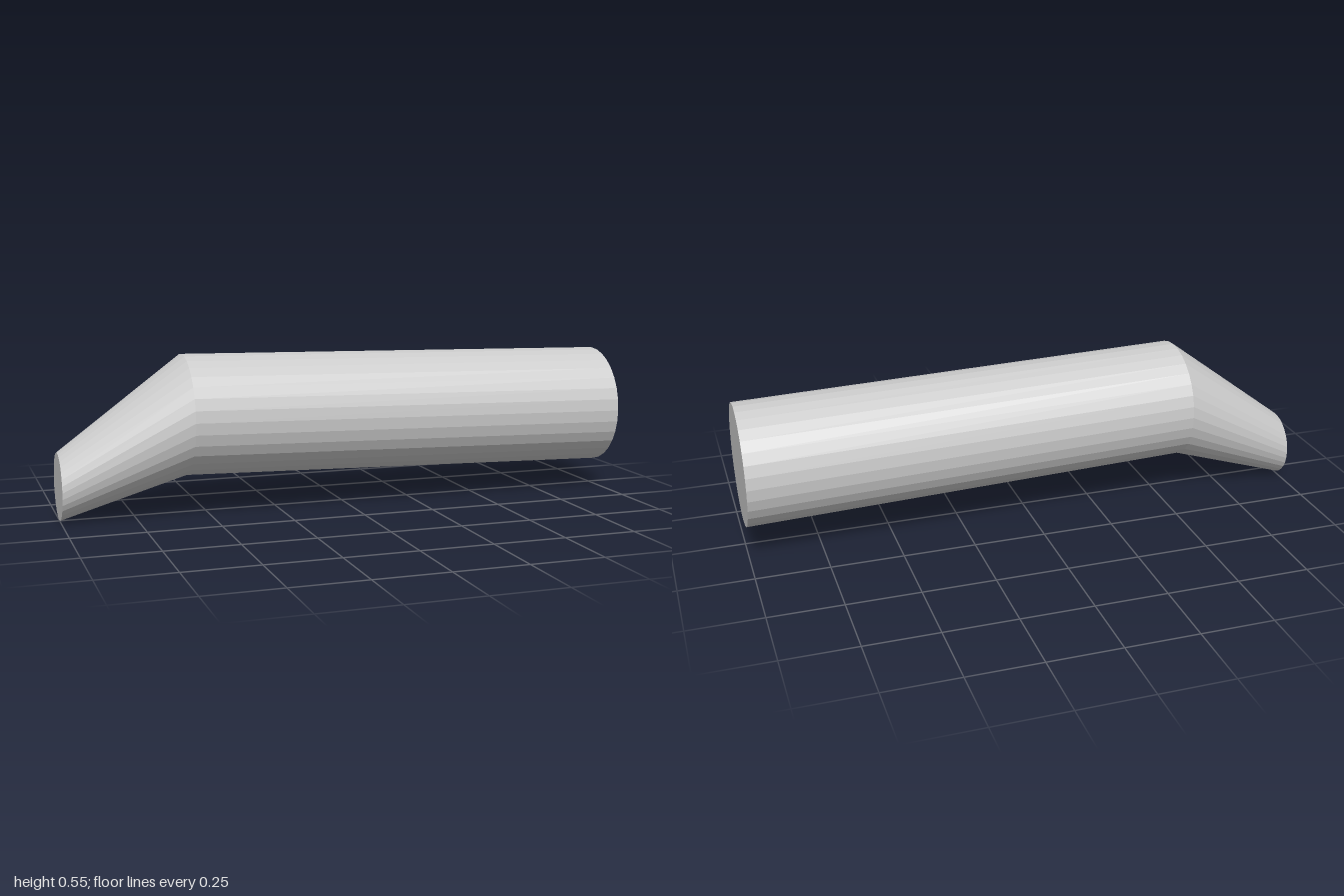
import * as THREE from 'three';

const SIDES = 32;

// Upright circular cross-sections along x: [x, centre y, centre z, radius]
const smallEnd = [-1, 0.115, -0.011, 0.115];
const elbow = [-0.575, 0.342, 0.011, 0.207];
const largeEnd = [1, 0.304, -0.008, 0.211];

function ringPoint([x, y, z, r], i) {
  const a = (i / SIDES) * Math.PI * 2;
  return [x, y + r * Math.cos(a), z + r * Math.sin(a)];
}

// Faceted tube between two cross-sections, capped at one end
function section(name, from, to, capStart, material) {
  const pos = [];
  for (let i = 0; i < SIDES; i++) {
    const a = ringPoint(from, i), b = ringPoint(from, i + 1);
    const c = ringPoint(to, i), d = ringPoint(to, i + 1);
    pos.push(...a, ...b, ...c, ...b, ...d, ...c);
    if (capStart) pos.push(...from.slice(0, 3), ...b, ...a);
    else pos.push(...to.slice(0, 3), ...c, ...d);
  }
  const geometry = new THREE.BufferGeometry();
  geometry.setAttribute('position', new THREE.Float32BufferAttribute(pos, 3));
  geometry.computeVertexNormals();
  const mesh = new THREE.Mesh(geometry, material);
  mesh.name = name;
  return mesh;
}

export function createModel() {
  const group = new THREE.Group();
  group.name = 'bentPipe';
  const material = new THREE.MeshStandardMaterial({ color: 0xcccccc, flatShading: true });
  // Tapered, downward-bent end
  group.add(section('taperedEnd', smallEnd, elbow, true, material));
  // Long main barrel
  group.add(section('mainBarrel', elbow, largeEnd, false, material));
  return group;
}
